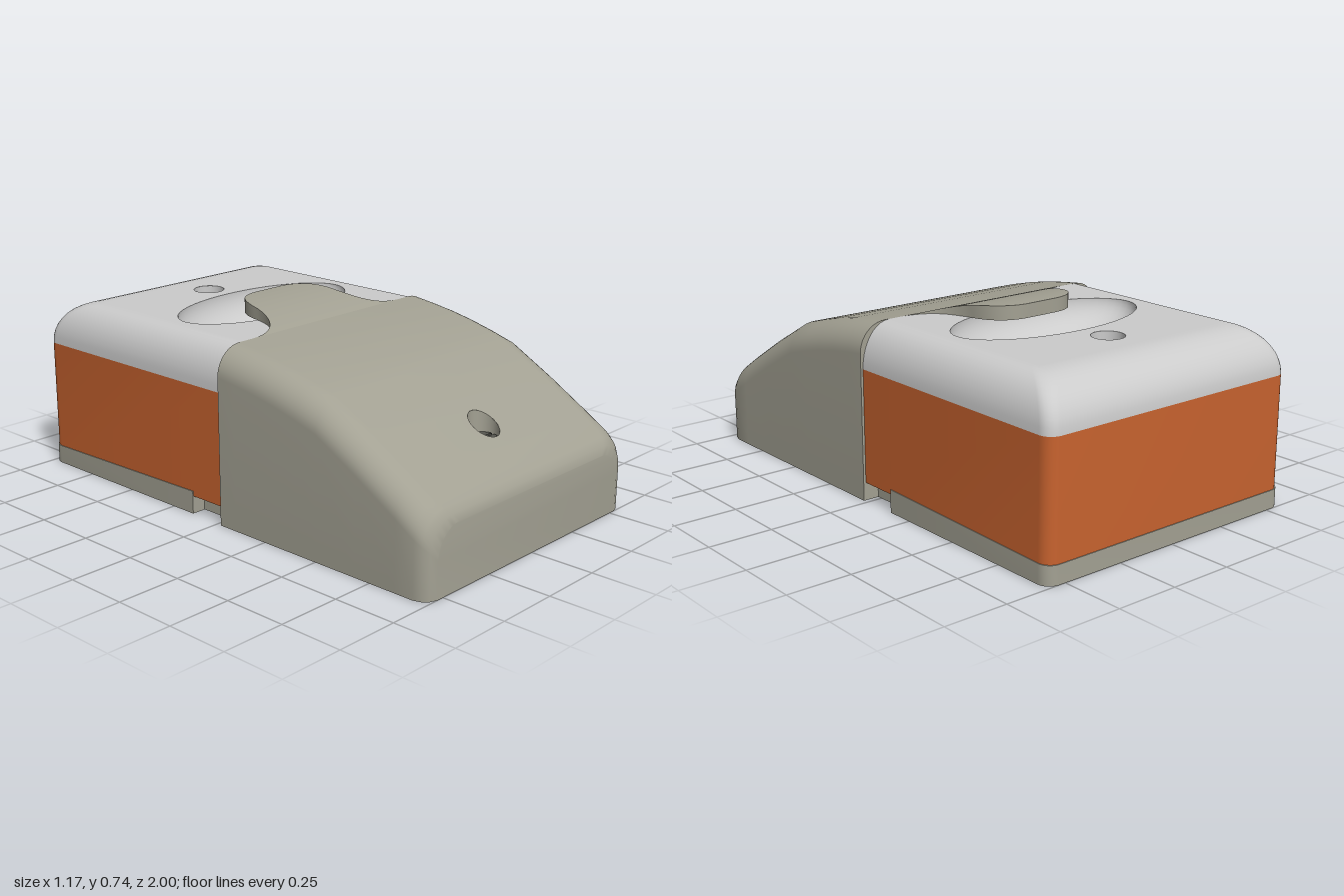
import * as THREE from 'three';
import { mergeGeometries, toCreasedNormals } from 'three/addons/utils/BufferGeometryUtils.js';

const mat = (color) => new THREE.MeshStandardMaterial({ color, side: THREE.DoubleSide });
const grey = mat(0xcccccc), olive = mat(0xa3a193), orange = mat(0xc8632f), dark = mat(0x55554f);

// Cover outline along its length: z, half width, height
const SECTIONS = [
  [1, 0.53, 0.25], [0.99, 0.557, 0.279], [0.97, 0.575, 0.301], [0.94, 0.585, 0.323],
  [0.86, 0.585, 0.374], [0.68, 0.585, 0.482], [0.5, 0.585, 0.581], [0.4, 0.585, 0.61],
  [0.3, 0.585, 0.635], [0.2, 0.585, 0.655], [0.1, 0.585, 0.67], [0.02, 0.585, 0.68],
];
const EDGE = 0.11, TOP = 0.68, SPLIT = 0.02;

function coverHeight(z) {
  const i = Math.max(1, SECTIONS.findIndex((s) => s[0] <= z + 1e-5));
  const [z0, , h0] = SECTIONS[i - 1], [z1, , h1] = SECTIONS[i];
  return h0 + ((h1 - h0) * (z - z0)) / (z1 - z0);
}

// Surface through rows of [x, y, z] points
function grid(rows) {
  const pos = [];
  for (let i = 0; i + 1 < rows.length; i++) {
    for (let j = 0; j + 1 < rows[i].length; j++) {
      const a = rows[i][j], b = rows[i + 1][j], c = rows[i + 1][j + 1], d = rows[i][j + 1];
      pos.push(...a, ...b, ...d, ...b, ...c, ...d);
    }
  }
  const geo = new THREE.BufferGeometry();
  geo.setAttribute('position', new THREE.Float32BufferAttribute(pos, 3));
  return geo;
}

// Flat shape whose points are placed in space by a rule
function panel(shape, place) {
  const geo = new THREE.ShapeGeometry(shape, 24).toNonIndexed();
  geo.deleteAttribute('uv');
  geo.deleteAttribute('normal');
  const p = geo.attributes.position;
  for (let i = 0; i < p.count; i++) p.setXYZ(i, ...place(p.getX(i), p.getY(i)));
  return geo;
}

const polygon = (points) => new THREE.Shape(points.map(([x, y]) => new THREE.Vector2(x, y)));
const oval = (y, rx, ry) => new THREE.Path().absellipse(0, y, rx, ry, 0, Math.PI * 2);
const smooth = (parts) => toCreasedNormals(mergeGeometries(parts), 0.6);

function add(group, name, geo, material) {
  const mesh = new THREE.Mesh(geo, material);
  mesh.name = name;
  group.add(mesh);
  return mesh;
}

// Right half of a cover section, from the bottom to the flat top
function halfSection([z, w, h]) {
  const row = [[w, 0, z]];
  for (let k = 0; k <= 10; k++) {
    const a = (k / 10) * Math.PI / 2;
    row.push([w - EDGE + EDGE * Math.cos(a), h - EDGE + EDGE * Math.sin(a), z]);
  }
  return row;
}
const mirrored = (row) => row.map(([x, y, z]) => [-x, y, z]).reverse();

function coverGeometry() {
  const rows = SECTIONS.map(halfSection);
  const parts = [grid(rows), grid(rows.map(mirrored))];
  for (let i = 0; i + 1 < SECTIONS.length; i++) {
    const [z0, w0] = SECTIONS[i], [z1, w1] = SECTIONS[i + 1];
    const a = w0 - EDGE, b = w1 - EDGE;
    const strip = polygon([[-a, -z0], [a, -z0], [b, -z1], [-b, -z1]]);
    if (z0 > 0.77 && z1 < 0.77) strip.holes.push(oval(-0.77, 0.058, 0.058));
    parts.push(panel(strip, (x, s) => [x, coverHeight(-s), -s]));
  }
  // Front and back faces
  const outline = (row) => polygon([...row, ...mirrored(row)]);
  parts.push(panel(outline(rows[0]), (x, y) => [x, y, 1]));
  parts.push(panel(outline(rows[rows.length - 1]), (x, y) => [-x, y, SPLIT]));
  return smooth(parts);
}

// U-shaped plan line around the rear, from the front left to the front right edge
function rearPath(w, back, front) {
  const r = 0.05, pts = [[-w, front]];
  for (const side of [-1, 1]) {
    for (let k = 0; k <= 6; k++) {
      const a = ((side < 0 ? k : 6 - k) / 6) * Math.PI / 2;
      pts.push([side * (w - r + r * Math.cos(a)), back + r - r * Math.sin(a)]);
    }
  }
  pts.push([w, front]);
  return pts;
}

// Tab lofted along its plan edge, rising gently towards the rounded free end
function pullTabGeometry() {
  const edge = new THREE.Path();
  edge.moveTo(0.4, SPLIT);
  edge.bezierCurveTo(0.28, 0.015, 0.235, -0.05, 0.215, -0.15);
  edge.bezierCurveTo(0.205, -0.26, 0.15, -0.31, 0.06, -0.31);
  const rows = edge.getPoints(14).map(({ x, y: z }) => {
    const t = (SPLIT - z) / 0.33;
    const bottom = TOP - 0.004 + 0.01 * t;
    const top = TOP + 0.06 * (1 - (1 - t) ** 2);
    return [[x, bottom, z], [x, top, z], [-x, top, z], [-x, bottom, z], [x, bottom, z]];
  });
  // Close the free end
  const [a, , , b] = rows[rows.length - 1];
  rows.push([a, a, b, b, a]);
  return smooth([grid(rows)]);
}

// Screw sunk in a round well whose rim follows the surface
function screwWell(name, z, r, floor, height, wall) {
  const g = new THREE.Group();
  g.name = name;
  const tube = new THREE.CylinderGeometry(r, r, 1, 24, 1, true);
  const p = tube.attributes.position;
  for (let i = 0; i < p.count; i++) {
    const pz = p.getZ(i) + z;
    p.setXYZ(i, p.getX(i), p.getY(i) > 0 ? height(pz) : floor, pz);
  }
  add(g, 'well', tube, wall);
  add(g, 'wellFloor', new THREE.CircleGeometry(r, 24).rotateX(-Math.PI / 2), wall).position.set(0, floor, z);
  add(g, 'screwHead', new THREE.CylinderGeometry(r * 0.85, r * 0.85, 0.02, 24), dark).position.set(0, floor + 0.01, z);
  // Raised halves leave a slot between them
  for (const side of [-1, 1]) {
    const half = new THREE.CylinderGeometry(r * 0.85, r * 0.85, 0.015, 16, 1, false, -side * Math.PI / 2, Math.PI);
    half.scale(1, 1, 0.88).translate(0, 0, side * r * 0.1);
    const mesh = add(g, 'screwHeadHalf', half, dark);
    mesh.position.set(0, floor + 0.027, z);
    mesh.rotation.y = -0.15;
  }
  return g;
}

// Plate under everything, notched on each side behind the cover, its rear rim sloping down
function basePlateGeometry() {
  const half = [[0.52, -0.14], [0.52, SPLIT], [0.58, SPLIT], [0.58, 0.935], [0.57, 0.97], [0.525, 0.995]];
  const plan = [...rearPath(0.578, -1, -0.14), ...half, ...half.map(([x, z]) => [-x, z]).reverse()];
  const geo = new THREE.ExtrudeGeometry(polygon(plan.map(([x, z]) => [x, -z])), { depth: 1, bevelEnabled: false });
  geo.rotateX(-Math.PI / 2);
  const p = geo.attributes.position;
  for (let i = 0; i < p.count; i++) {
    const z = p.getZ(i);
    if (p.getY(i) > 0.5) p.setY(i, z > -0.139 ? 0.08 : 0.09 + 0.02 * (z + 0.14));
  }
  return toCreasedNormals(geo, 0.6);
}

export function createModel() {
  const model = new THREE.Group();
  model.name = 'wallPullBox';

  // Sloping front cover with its pull tab
  add(model, 'frontCover', coverGeometry(), olive);
  add(model, 'pullTab', pullTabGeometry(), olive);
  model.add(screwWell('frontScrew', 0.77, 0.058, 0.345, coverHeight, olive));

  // Rear housing walls
  const ring = (w, back, y) => rearPath(w, back, SPLIT).map(([x, z]) => [x, y, z]);
  const walls = grid([ring(0.575, -0.997, 0.07), ring(0.575, -0.997, 0.51)]);
  const underside = panel(polygon(rearPath(0.575, -0.997, SPLIT)), (x, z) => [x, 0.07, z]);
  add(model, 'housingWalls', smooth([walls, underside]), orange);

  // Rounded shoulders and flat top with openings
  const rings = [];
  for (let k = 0; k <= 10; k++) {
    const a = (k / 10) * Math.PI / 2, inset = 1 - Math.cos(a);
    rings.push(ring(0.575 - 0.12 * inset, -0.997 + 0.187 * inset, 0.51 + 0.17 * Math.sin(a)));
  }
  const top = polygon(rearPath(0.455, -0.81, SPLIT).map(([x, z]) => [x, -z]));
  top.holes.push(oval(0.335, 0.418, 0.21), oval(0.66, 0.062, 0.062));
  add(model, 'housingTop', smooth([grid(rings), panel(top, (x, s) => [x, TOP, -s])]), grey);

  // Oval finger recess
  const bowl = new THREE.SphereGeometry(1, 48, 16, 0, Math.PI * 2, Math.PI / 2, Math.PI / 2);
  add(model, 'fingerRecess', bowl.scale(0.418, 0.16, 0.21), grey).position.set(0, TOP, -0.335);
  model.add(screwWell('rearScrew', -0.66, 0.062, 0.59, () => TOP, grey));

  add(model, 'basePlate', basePlateGeometry(), olive);
  return model;
}
